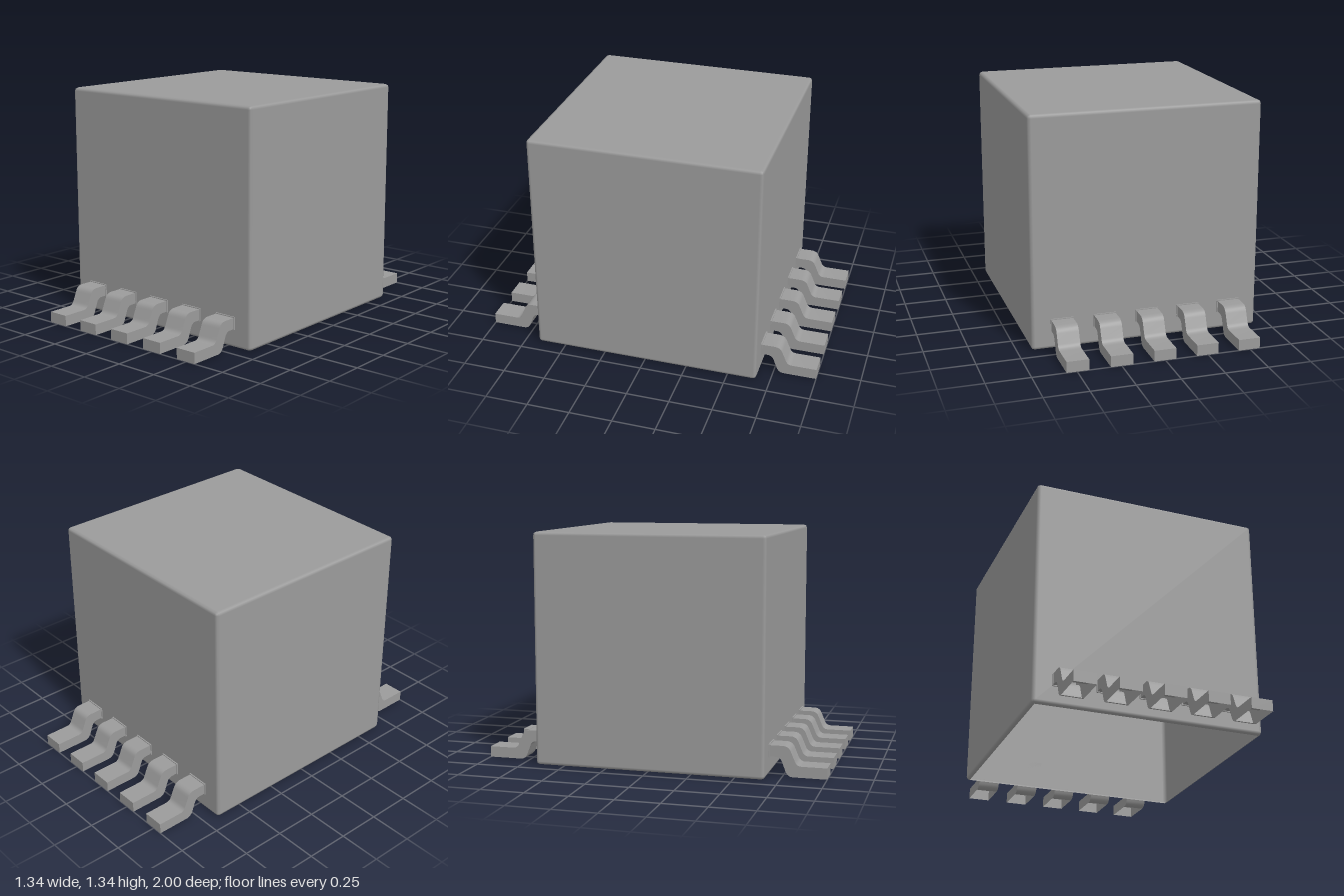
import * as THREE from 'three';
import { toCreasedNormals } from 'three/addons/utils/BufferGeometryUtils.js';
import { RoundedBoxGeometry } from 'three/addons/geometries/RoundedBoxGeometry.js';

const HALF = 0.67;      // half width of the housing
const HEIGHT = 1.34;
const LEAD_WIDTH = 0.126;
const LEAD_PITCH = 0.248;

// Removes the triangles lying on the ground plane, leaving the shell open below.
function openBottom(geometry) {
  const src = geometry.index ? geometry.toNonIndexed() : geometry;
  const pos = src.attributes.position;
  const nor = src.attributes.normal;
  const p = [];
  const n = [];
  for (let i = 0; i < pos.count; i += 3) {
    if ([0, 1, 2].every((k) => Math.abs(pos.getY(i + k)) < 1e-4)) continue;
    for (let k = i; k < i + 3; k++) {
      p.push(pos.getX(k), pos.getY(k), pos.getZ(k));
      n.push(nor.getX(k), nor.getY(k), nor.getZ(k));
    }
  }
  const out = new THREE.BufferGeometry();
  out.setAttribute('position', new THREE.Float32BufferAttribute(p, 3));
  out.setAttribute('normal', new THREE.Float32BufferAttribute(n, 3));
  return out;
}

// Gull-wing lead: side profile (outward distance, height) extruded across its width.
function leadGeometry() {
  const s = new THREE.Shape();
  s.moveTo(HALF, 0.11);
  s.lineTo(0.71, 0.11);
  s.quadraticCurveTo(0.737, 0.11, 0.747, 0.085);
  s.lineTo(0.768, 0.03);
  s.quadraticCurveTo(0.78, 0, 0.81, 0);
  s.lineTo(1, 0);
  s.lineTo(1, 0.063);
  s.lineTo(0.855, 0.063);
  s.quadraticCurveTo(0.83, 0.063, 0.82, 0.088);
  s.lineTo(0.797, 0.142);
  s.quadraticCurveTo(0.785, 0.174, 0.75, 0.174);
  s.lineTo(HALF, 0.174);
  s.closePath();
  const g = new THREE.ExtrudeGeometry(s, { depth: LEAD_WIDTH, bevelEnabled: false, curveSegments: 5 });
  g.translate(0, 0, -LEAD_WIDTH / 2);
  g.rotateY(-Math.PI / 2); // outward along +z
  return openBottom(toCreasedNormals(g, 0.6));
}

export function createModel() {
  const model = new THREE.Group();
  const material = new THREE.MeshStandardMaterial({ color: 0x9b9b9b, side: THREE.DoubleSide });

  // Hollow housing with narrow chamfered edges, open underneath
  const box = new RoundedBoxGeometry(HALF * 2, HEIGHT, HALF * 2, 1, 0.02);
  box.translate(0, HEIGHT / 2, 0);
  const housing = new THREE.Mesh(openBottom(box), material);
  housing.name = 'housing';
  model.add(housing);

  // Five leads on the front and five on the back, each with a thin collar at its root
  const lead = leadGeometry();
  const collar = new THREE.BoxGeometry(LEAD_WIDTH + 0.008, 0.074, 0.008);
  collar.translate(0, 0.142, HALF + 0.0045);
  for (const [side, angle] of [['front', 0], ['back', Math.PI]]) {
    const row = new THREE.Group();
    row.name = `${side}Leads`;
    row.rotation.y = angle;
    for (let i = -2; i <= 2; i++) {
      const leadMesh = new THREE.Mesh(lead, material);
      leadMesh.name = 'lead';
      const collarMesh = new THREE.Mesh(collar, material);
      collarMesh.name = 'leadCollar';
      leadMesh.position.x = collarMesh.position.x = i * LEAD_PITCH;
      row.add(leadMesh, collarMesh);
    }
    model.add(row);
  }
  return model;
}
